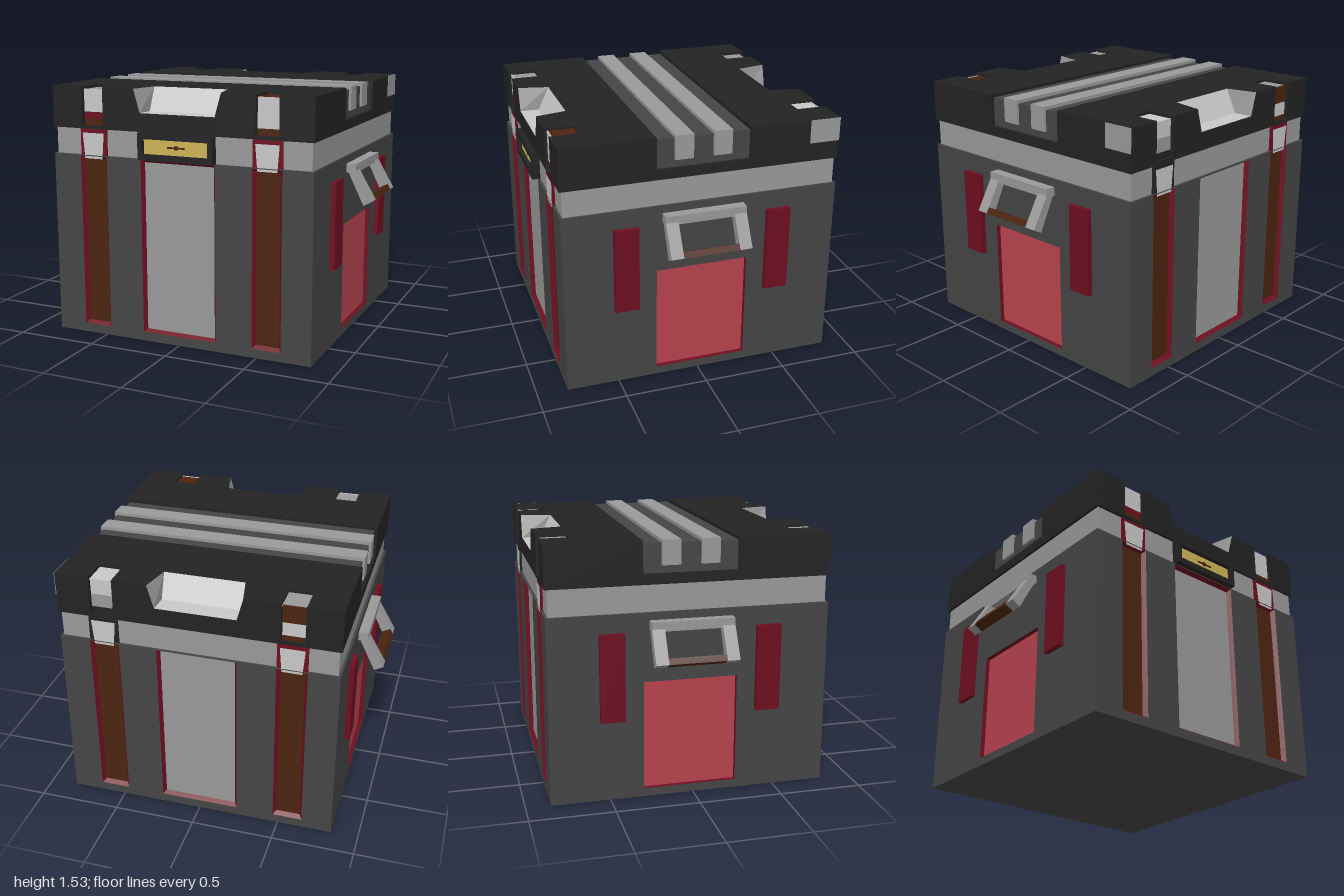
import * as THREE from 'three';

const mat = (name, color, extra = {}) => {
  const m = new THREE.MeshStandardMaterial({ color, ...extra });
  m.name = name;
  return m;
};

export function createModel() {
  const charcoal = mat('charcoal', 0x454545);
  const black = mat('black', 0x232323);
  const grey = mat('grey', 0x999999);
  const light = mat('lightGrey', 0xc8c8c8);
  const crimson = mat('crimson', 0x6e0e20);
  const pink = mat('rosePink', 0xb8434f);
  const brown = mat('brown', 0x4c2410);
  const gold = mat('gold', 0xcdb457);

  const H = 0.835; // half width of the crate
  const D = 0.03; // depth of the recessed panels
  const model = new THREE.Group();
  model.name = 'crate';
  const crate = new THREE.Group();
  crate.name = 'crateParts';
  crate.position.z = -0.018;
  model.add(crate);

  const add = (parent, name, geo, m) => {
    const mesh = new THREE.Mesh(geo, m);
    mesh.name = name;
    parent.add(mesh);
    return mesh;
  };
  // Box given by its limits
  const box = (parent, name, m, x0, x1, y0, y1, z0, z1) => {
    const g = new THREE.BoxGeometry(x1 - x0, y1 - y0, z1 - z0);
    g.translate((x0 + x1) / 2, (y0 + y1) / 2, (z0 + z1) / 2);
    return add(parent, name, g, m);
  };
  // Flat-shaded faces, corners counter-clockwise from outside
  const faces = (parent, name, m, list) => {
    const pos = [];
    for (const f of list)
      for (let i = 1; i < f.length - 1; i++) pos.push(...f[0], ...f[i], ...f[i + 1]);
    const g = new THREE.BufferGeometry();
    g.setAttribute('position', new THREE.Float32BufferAttribute(pos, 3));
    g.computeVertexNormals();
    return add(parent, name, g, m);
  };
  const rect = (Type, x0, x1, y0, y1) => {
    const s = new Type();
    s.moveTo(x0, y0).lineTo(x1, y0).lineTo(x1, y1).lineTo(x0, y1).closePath();
    return s;
  };
  // Plate with rectangular openings, its back at z
  const slab = (parent, name, m, outer, holes, z, depth) => {
    const s = rect(THREE.Shape, ...outer);
    for (const h of holes) s.holes.push(rect(THREE.Path, ...h));
    const g = new THREE.ExtrudeGeometry(s, { depth, bevelEnabled: false });
    g.translate(0, 0, z);
    return add(parent, name, g, m);
  };
  // Recessed panel with a sloping rim that narrows by t
  const recess = (parent, name, rim, panel, [x0, x1, y0, y1], t) => {
    const ring = (k, z) => [[x0 + k, y0 + k, z], [x1 - k, y0 + k, z], [x1 - k, y1 - k, z], [x0 + k, y1 - k, z]];
    const a = ring(0, H), b = ring(t, H - D + 0.004);
    faces(parent, name + 'Rim', rim, a.map((p, i) => [p, a[(i + 1) % 4], b[(i + 1) % 4], b[i]]));
    faces(parent, name + 'Panel', panel, [b]);
  };
  const side = (name, turn) => {
    const g = new THREE.Group();
    g.name = name;
    g.rotation.y = turn;
    crate.add(g);
    return g;
  };

  // Core of the body and the band under the lid
  const C = H - D;
  box(crate, 'bodyCore', charcoal, -C, C, 0, 1.12, -C, C);
  box(crate, 'band', grey, -0.82, 0.82, 1.12, 1.28, -0.82, 0.82);

  // Lid base, channel insert and ribs across the top
  box(crate, 'lidBase', black, -H, H, 1.28, 1.30, -H, H);
  box(crate, 'lidChannelFloor', black, -H, H, 1.30, 1.34, -0.28, 0.28);
  box(crate, 'lidChannel', charcoal, -0.815, 0.815, 1.34, 1.51, -0.28, 0.28);
  for (const z of [-0.115, 0.115])
    box(crate, 'lidRib', grey, -0.83, 0.83, 1.385, 1.53, z - 0.055, z + 0.055);

  // Front and back: each strap lists its top colour, its plates on the lid and its band frame
  const ends = [
    ['front', 0, [
      { x: -0.56, top: grey, lid: [[1.30, 1.34, brown], [1.34, 1.38, crimson], [1.38, 1.515, light]], frame: crimson },
      { x: 0.56, top: brown, lid: [[1.30, 1.34, brown], [1.34, 1.515, light]], frame: crimson },
    ]],
    ['back', Math.PI, [
      { x: -0.56, top: light, lid: [[1.30, 1.34, black], [1.34, 1.42, grey], [1.42, 1.515, light]], frame: black },
      { x: 0.56, top: grey, lid: [[1.30, 1.33, brown], [1.33, 1.41, light], [1.41, 1.515, brown]], frame: crimson },
    ]],
  ];
  for (const [label, turn, straps] of ends) {
    const g = side(label + 'End', turn);
    const holes = [-0.56, 0.56].map(x => [x - 0.09, x + 0.09, 0.055, 1.115]);
    holes.push([-0.24, 0.24, 0.055, 1.115]);
    slab(g, 'bodyWall', charcoal, [-H, H, 0, 1.12], holes, C, D);
    recess(g, 'centre', crimson, grey, holes[2], 0.016);

    for (const s of straps) {
      recess(g, 'strap', crimson, brown, holes[s.x < 0 ? 0 : 1], 0.018);
      // Strap buckle over the band
      box(g, 'strapFrame', s.frame, s.x - 0.09, s.x + 0.09, 1.115, 1.28, 0.8, 0.828);
      faces(g, 'strapBuckle', light, [[
        [s.x - 0.06, 1.1, 0.834], [s.x + 0.06, 1.1, 0.834],
        [s.x + 0.073, 1.255, 0.834], [s.x - 0.073, 1.255, 0.834]]]);
      // Strap slot in the lid edge
      box(g, 'lidSlotBlock', black, s.x - 0.07, s.x + 0.07, 1.30, 1.505, 0.28, 0.81);
      box(g, 'lidSlotBack', black, s.x - 0.07, s.x + 0.07, 1.505, 1.53, 0.28, 0.66);
      box(g, 'lidStrapTop', s.top, s.x - 0.07, s.x + 0.07, 1.505, 1.512, 0.66, 0.815);
      for (const [y0, y1, m] of s.lid)
        box(g, 'lidStrapPlate', m, s.x - 0.065, s.x + 0.065, y0, y1, 0.81, 0.818);
    }

    // Solid lid blocks between the slots and the notch
    for (const [x0, x1] of [[-H, -0.63], [-0.49, -0.28], [0.28, 0.49], [0.63, H]])
      box(g, 'lidBlock', black, x0, x1, 1.30, 1.53, 0.28, H);
    box(g, 'notchBase', black, -0.28, 0.28, 1.30, 1.388, 0.28, H);
    box(g, 'notchBack', black, -0.28, 0.28, 1.388, 1.53, 0.28, 0.65);

    // Sloping hand notch
    const [T, B] = [1.53, 1.39];
    const fT = [0.28, T, H], bT = [0.24, T, 0.65], fB = [0.24, B, H], bB = [0.235, B, 0.72];
    const m = ([x, y, z]) => [-x, y, z];
    const both = list => list.flatMap(f => [f, f.map(m).reverse()]);
    faces(g, 'notchCheeks', black, both([
      [fB, [0.28, B, H], fT],
      [bT, fT, [0.28, T, 0.65]],
    ]));
    faces(g, 'notchSides', grey, both([[fT, bT, bB, fB]]));
    faces(g, 'notchFloor', light, [[m(fB), fB, bB, m(bB)], [m(bB), bB, bT, m(bT)]]);
  }

  // Latch on the front
  slab(crate, 'latchFrame', black, [-0.24, 0.24, 1.12, 1.28], [[-0.21, 0.21, 1.155, 1.245]], 0.815, 0.055);
  box(crate, 'latchPlate', gold, -0.21, 0.21, 1.155, 1.245, 0.82, 0.845);
  box(crate, 'latchSlot', brown, -0.055, 0.055, 1.195, 1.205, 0.845, 0.849);
  box(crate, 'latchKeyhole', brown, -0.012, 0.012, 1.188, 1.212, 0.845, 0.849);

  // Sides, worked facing +z and turned outwards
  for (const [label, turn] of [['left', Math.PI / 2], ['right', -Math.PI / 2]]) {
    const g = side(label + 'Side', turn);
    const hole = [-0.28, 0.28, 0.05, 0.71];
    slab(g, 'bodyWall', charcoal, [-C, C, 0, 1.12], [hole], C, D);
    recess(g, 'sidePanel', crimson, pink, hole, 0.001);
    for (const s of [-1, 1])
      box(g, 'sideBar', crimson, s * 0.465 - 0.073, s * 0.465 + 0.073, 0.49, 1.01, 0.82, 0.865);

    // Handle: profile points are (outward, height), extruded across the side
    const bar = (name, mtl, pts, x0, x1) => {
      const s = new THREE.Shape(pts.map(p => new THREE.Vector2(...p)));
      const geo = new THREE.ExtrudeGeometry(s, { depth: x1 - x0, bevelEnabled: false });
      geo.rotateY(-Math.PI / 2);
      geo.translate(x1, 0, 0);
      add(g, name, geo, mtl);
    };
    bar('handleMount', grey, [[0.82, 1.02], [0.895, 1.02], [0.895, 1.075], [0.82, 1.075]], -0.245, 0.245);
    const arm = [[0.85, 1.02], [0.945, 0.825], [1.0, 0.855], [0.895, 1.035]];
    bar('handleArm', grey, arm, -0.245, -0.17);
    bar('handleArm', grey, arm, 0.17, 0.245);
    bar('handleGrip', brown, [[0.928, 0.86], [0.945, 0.825], [1.0, 0.855], [0.982, 0.888]], -0.17, 0.17);
  }

  // Single pale corner plate on the lid
  box(crate, 'lidCornerPlate', grey, H - 0.002, H + 0.003, 1.39, 1.53, -H, -0.65);

  return model;
}
